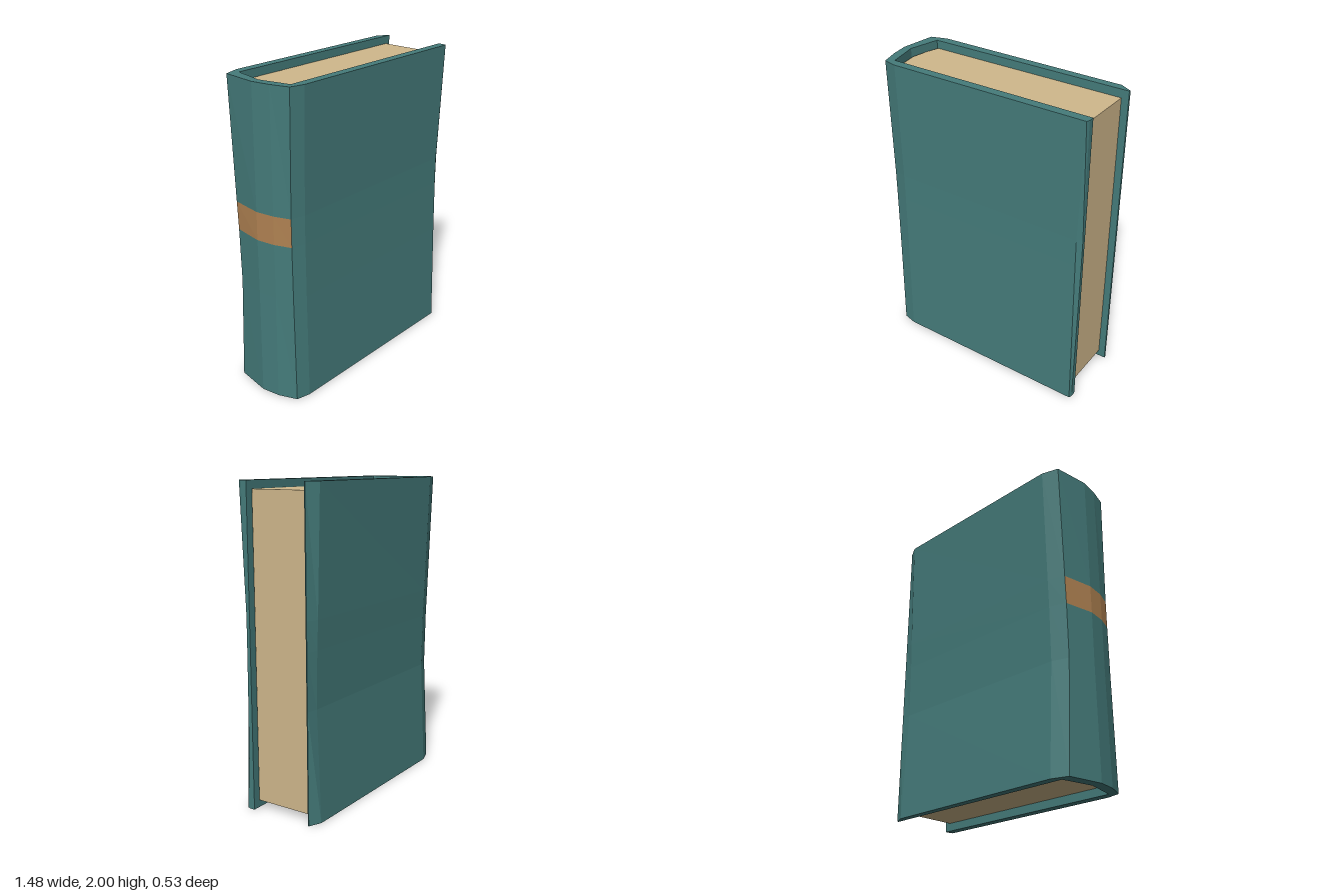
import * as THREE from 'three';

const mat = (name, color) => {
  const m = new THREE.MeshStandardMaterial({ color, flatShading: true });
  m.name = name;
  return m;
};

// Cross-section of the cover at one height, as [x, z] points running
// from the front fore-edge around the spine to the back and along the inside.
// f, b: depth of front and back board; s: x of the spine ridge; e: front bevel x
function section({ f, b, s, e }) {
  return [
    [0.735, 0.204], [0.735, f - 0.02], [e, f], [-0.59, f],
    [-0.68, f - 0.022], [s + 0.018, 0.12], [s, 0], [-0.705, -b + 0.033],
    [-0.6, -b], [0.66, -b + 0.008 * (b > 0.25)], [0.738, -0.213],
    [0.735, -0.204], [-0.635, -0.204], [-0.68, 0], [-0.635, 0.204],
  ];
}

// Cover heights: the boards are pinched around the middle
const ROWS = [
  { y: 0, f: 0.26, b: 0.257, s: -0.745, e: 0.728 },
  { y: 0.7, f: 0.25, b: 0.223, s: -0.738, e: 0.712 },
  { y: 1.05, f: 0.247, b: 0.229, s: -0.738, e: 0.705 },
  { y: 1.23, f: 0.247, b: 0.236, s: -0.736, e: 0.703 },
  { y: 2, f: 0.262, b: 0.264, s: -0.732, e: 0.728 },
];
const BAND_ROW = 2, SPINE_FIRST = 4, SPINE_LAST = 6;

function meshOf(name, positions, material) {
  const g = new THREE.BufferGeometry();
  g.setAttribute('position', new THREE.Float32BufferAttribute(positions, 3));
  g.computeVertexNormals();
  const m = new THREE.Mesh(g, material);
  m.name = name;
  return m;
}

function buildCover(clothMat, bandMat) {
  const rings = ROWS.map(r => section(r).map(([x, z]) => new THREE.Vector3(x, r.y, z)));
  const cloth = [], band = [];
  const tri = (out, ...pts) => pts.forEach(p => out.push(p.x, p.y, p.z));

  // Walls between neighbouring heights; the spine faces of one row form the band
  for (let r = 0; r < rings.length - 1; r++) {
    const lo = rings[r], hi = rings[r + 1];
    lo.forEach((a, i) => {
      const j = (i + 1) % lo.length;
      const out = r === BAND_ROW && i >= SPINE_FIRST && i <= SPINE_LAST ? band : cloth;
      tri(out, a, hi[j], lo[j]);
      tri(out, a, hi[i], hi[j]);
    });
  }

  // Top and bottom edges of the cover
  for (const [ring, up] of [[rings[0], -1], [rings[rings.length - 1], 1]]) {
    const flat = ring.map(p => new THREE.Vector2(p.x, p.z));
    for (const [i, j, k] of THREE.ShapeUtils.triangulateShape(flat, [])) {
      const [a, b, c] = [ring[i], ring[j], ring[k]];
      const ny = b.clone().sub(a).cross(c.clone().sub(a)).y;
      if (ny * up > 0) tri(cloth, a, b, c);
      else tri(cloth, a, c, b);
    }
  }
  return [meshOf('cover', cloth, clothMat), meshOf('spineBand', band, bandMat)];
}

// Page block with a rounded back towards the spine
function buildPages(material) {
  const shape = new THREE.Shape([
    [0.692, -0.198], [0.692, 0.198], [-0.625, 0.198], [-0.65, 0.1],
    [-0.665, 0], [-0.65, -0.1], [-0.625, -0.198],
  ].map(([x, z]) => new THREE.Vector2(x, z)));
  const g = new THREE.ExtrudeGeometry(shape, { depth: 1.9, bevelEnabled: false });
  g.rotateX(-Math.PI / 2).translate(0, 0.05, 0);
  const m = new THREE.Mesh(g, material);
  m.name = 'pages';
  return m;
}

export function createModel() {
  const book = new THREE.Group();
  book.name = 'book';
  book.add(
    ...buildCover(mat('tealCloth', 0x457c7b), mat('tanBand', 0xb08252)),
    buildPages(mat('paper', 0xd0b88c)),
  );
  return book;
}
